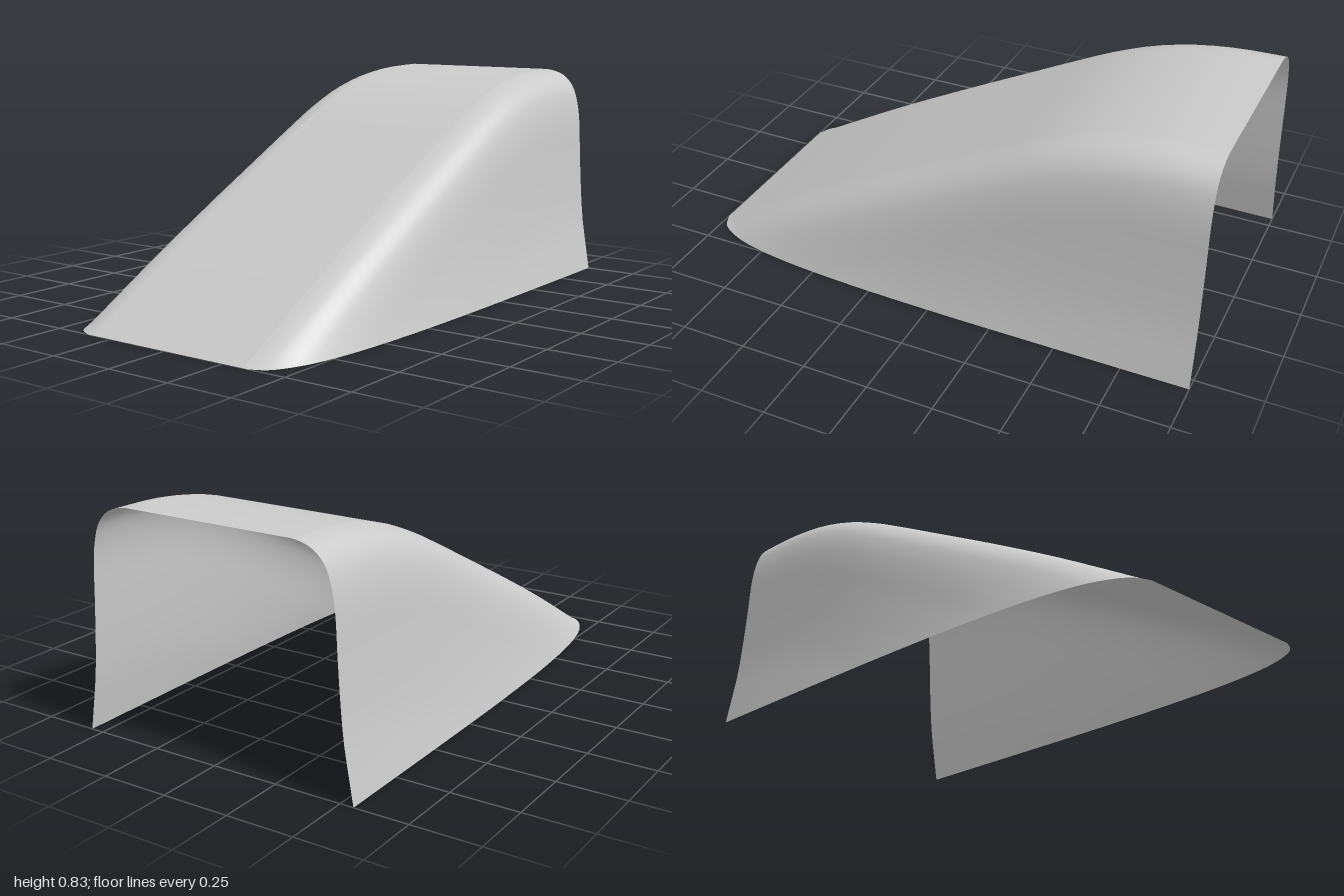
import * as THREE from 'three';

// Smooth lookup b(a) through a few [a, b] points, a increasing
function smoothLookup(points) {
  const samples = new THREE.CatmullRomCurve3(points.map(([a, b]) => new THREE.Vector3(a, b, 0)))
    .getPoints(120);
  return (a) => {
    let i = 1;
    while (i < samples.length - 1 && samples[i].x < a) i++;
    const p = samples[i - 1], q = samples[i];
    const t = THREE.MathUtils.clamp((a - p.x) / (q.x - p.x || 1), 0, 1);
    return p.y + (q.y - p.y) * t;
  };
}

// Height of the roof line along x
const roofHeight = smoothLookup([
  [-1, 0], [-0.6, 0.225], [-0.3, 0.383], [0, 0.535], [0.2, 0.636], [0.35, 0.708],
  [0.5, 0.766], [0.65, 0.804], [0.8, 0.825], [0.9, 0.83], [1, 0.832],
]);

// Half width of the bottom rim along x
const rimHalfWidth = smoothLookup([
  [-1, 0.355], [-0.97, 0.412], [-0.87, 0.468], [-0.69, 0.508], [-0.4, 0.534], [0, 0.547], [0.4, 0.55], [1, 0.55],
]);

// Half width of the shell by depth below the roof: rounded shoulder, then flaring wall
const wallHalfWidth = smoothLookup([
  [0, 0.335], [0.006, 0.37], [0.024, 0.414], [0.066, 0.454], [0.13, 0.477], [0.21, 0.489],
  [0.33, 0.495], [0.5, 0.505], [0.63, 0.517], [0.73, 0.533], [0.832, 0.55],
]);

const LENGTH_STEPS = 48, WALL_STEPS = 26;

// Cross-section at x, from the +z rim over the roof to the -z rim
function crossSection(x) {
  const h = roofHeight(x);
  const flare = rimHalfWidth(x) - wallHalfWidth(h);
  const half = [];
  for (let k = WALL_STEPS; k >= 0; k--) {
    const u = (k / WALL_STEPS) ** 2.2;
    half.push([h * (1 - u), wallHalfWidth(h * u) + flare * u * u]);
  }
  half.push([h, 0.29]);
  return [...half, ...half.slice().reverse().map(([y, z]) => [y, -z])];
}

export function createModel() {
  const positions = [], index = [];
  let row = 0;
  for (let i = 0; i <= LENGTH_STEPS; i++) {
    // stations crowd together towards the pointed tip
    const x = -1 + 2 * (i / LENGTH_STEPS) ** 1.7;
    const section = crossSection(x);
    row = section.length;
    for (const [y, z] of section) positions.push(x, y, z);
  }
  for (let i = 0; i < LENGTH_STEPS; i++) {
    for (let j = 0; j < row - 1; j++) {
      const a = i * row + j, b = a + row;
      index.push(a, b, a + 1, b, b + 1, a + 1);
    }
  }
  const geometry = new THREE.BufferGeometry();
  geometry.setAttribute('position', new THREE.Float32BufferAttribute(positions, 3));
  geometry.setIndex(index);
  geometry.computeVertexNormals();

  // Thin scoop, open underneath and at the tall end
  const shell = new THREE.Mesh(
    geometry,
    new THREE.MeshStandardMaterial({ color: 0xcccccc, side: THREE.DoubleSide }),
  );
  shell.name = 'scoopShell';

  const group = new THREE.Group();
  group.name = 'airScoop';
  group.add(shell);
  return group;
}
